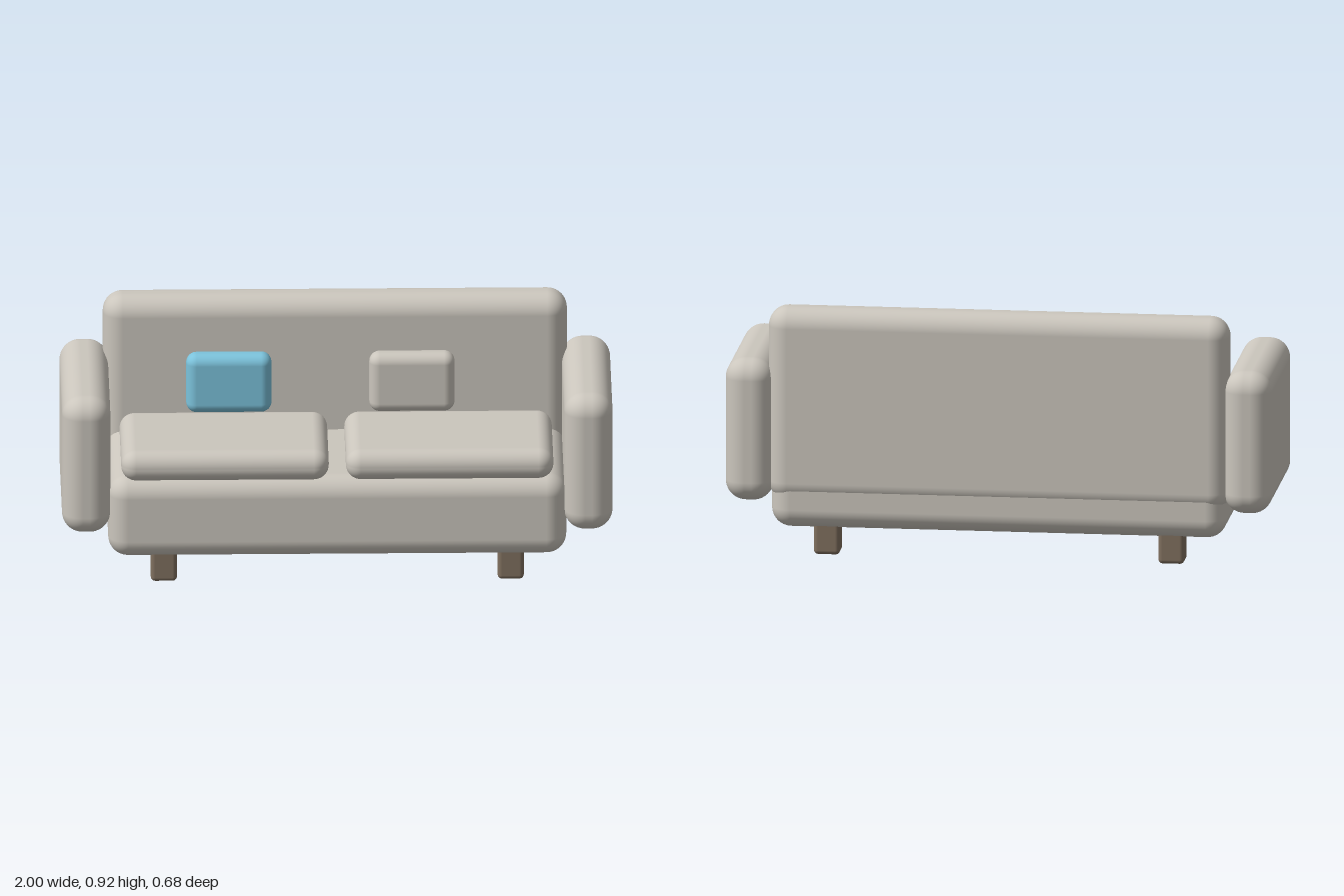
import * as THREE from 'three';
import { RoundedBoxGeometry } from 'three/addons/geometries/RoundedBoxGeometry.js';

const fabric = new THREE.MeshStandardMaterial({ color: 0xcbc6bd });
const blue = new THREE.MeshStandardMaterial({ color: 0x7cc3dc });
const wood = new THREE.MeshStandardMaterial({ color: 0x80705f });

// Soft box given by its extents on each axis
function softBox(name, [x0, x1], [y0, y1], [z0, z1], radius, material) {
  const geometry = new RoundedBoxGeometry(x1 - x0, y1 - y0, z1 - z0, 6, radius);
  const mesh = new THREE.Mesh(geometry, material);
  mesh.position.set((x0 + x1) / 2, (y0 + y1) / 2, (z0 + z1) / 2);
  mesh.name = name;
  return mesh;
}

// Extents of a part of the given width centred on c
const around = (c, width) => [c - width / 2, c + width / 2];

export function createModel() {
  const sofa = new THREE.Group();
  sofa.name = 'sofa';

  // Base and backrest
  sofa.add(softBox('base', [-0.832, 0.832], [0.1, 0.41], [-0.325, 0.325], 0.072, fabric));
  sofa.add(softBox('backrest', [-0.843, 0.843], [0.2, 0.92], [-0.331, -0.171], 0.072, fabric));

  for (const [side, s] of [['left', 1], ['right', -1]]) {
    // Armrests and seat cushions
    sofa.add(softBox(`${side}Armrest`, around(s * 0.912, 0.176), [0.197, 0.727], [-0.34, 0.34], 0.075, fabric));
    sofa.add(softBox(`${side}SeatCushion`, around(s * 0.408, 0.754), [0.4, 0.515], [-0.125, 0.331], 0.054, fabric));

    // Legs
    for (const [end, e] of [['Front', 1], ['Back', -1]]) {
      sofa.add(softBox(`${side}${end}Leg`, around(s * 0.63, 0.095), [0, 0.16], around(e * 0.237, 0.095), 0.016, wood));
    }
  }

  // Throw pillows
  sofa.add(softBox('leftPillow', around(0.278, 0.31), [0.5, 0.727], [-0.178, -0.093], 0.038, fabric));
  sofa.add(softBox('rightPillow', around(-0.387, 0.31), [0.5, 0.727], [-0.178, -0.093], 0.038, blue));

  return sofa;
}
